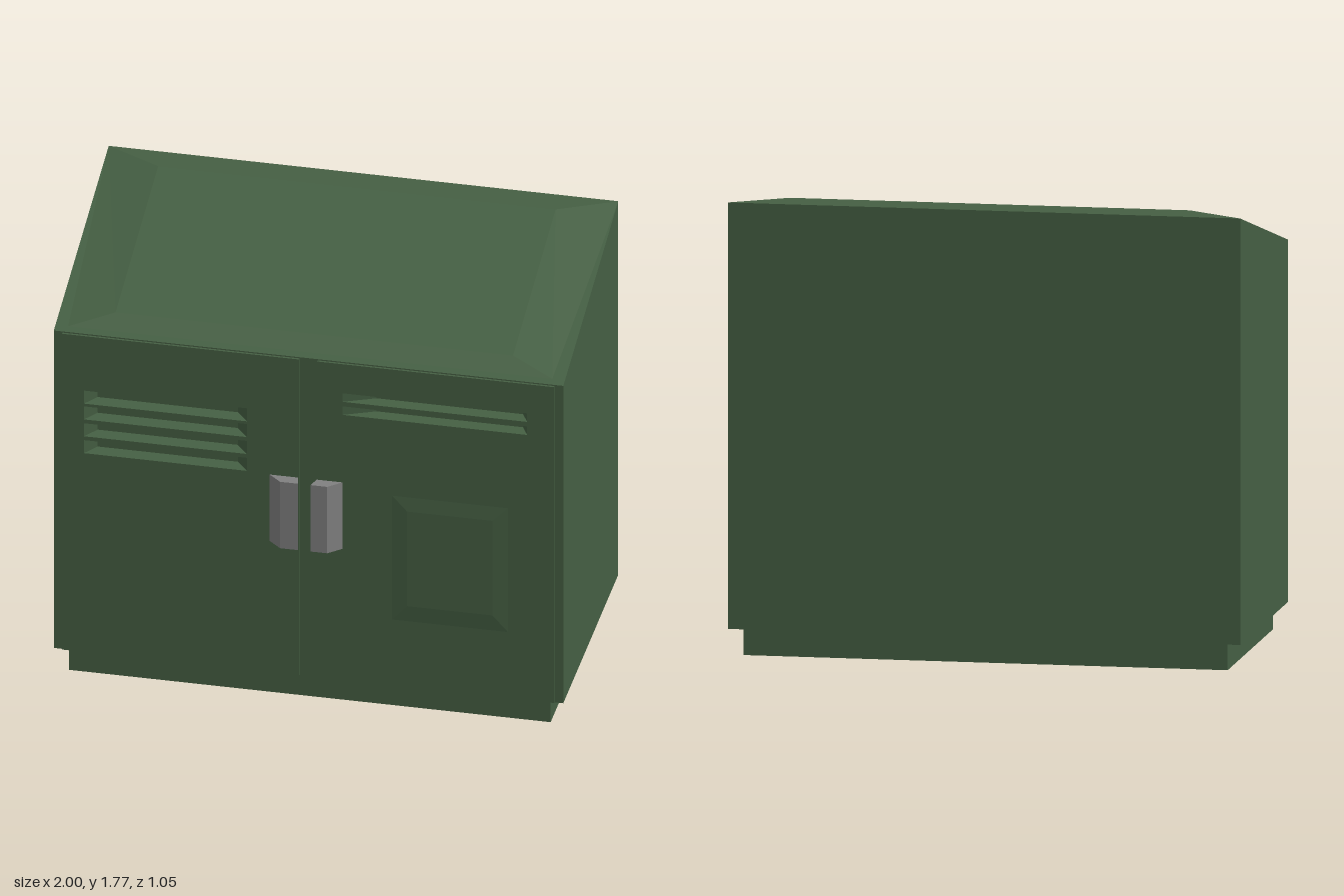
import * as THREE from 'three';

const green = new THREE.MeshStandardMaterial({ color: 0x455f43, flatShading: true });
const grey = new THREE.MeshStandardMaterial({ color: 0x808080, flatShading: true });

function add(group, name, geometry, material = green) {
  const mesh = new THREE.Mesh(geometry, material);
  mesh.name = name;
  group.add(mesh);
  return mesh;
}

// Rectangle [x0, x1, y0, y1] as corners, counter-clockwise
const corners = ([x0, x1, y0, y1], z) => [[x0, y0, z], [x1, y0, z], [x1, y1, z], [x0, y1, z]];

// Sloping walls from an outer loop to an inner loop, closed by an inner cap
function bevelPanel(outer, inner) {
  const p = [];
  const quad = (a, b, c, d) => p.push(...a, ...b, ...c, ...a, ...c, ...d);
  for (let i = 0; i < 4; i++) {
    const j = (i + 1) % 4;
    quad(outer[i], outer[j], inner[j], inner[i]);
  }
  quad(...inner);
  const g = new THREE.BufferGeometry();
  g.setAttribute('position', new THREE.Float32BufferAttribute(p, 3));
  g.computeVertexNormals();
  return g;
}

// Flat plate with rectangular openings, from z0 to z1
function plate(rect, holes, z0, z1) {
  const toPoints = (r) => corners(r, 0).map(([x, y]) => new THREE.Vector2(x, y));
  const shape = new THREE.Shape(toPoints(rect));
  for (const h of holes) shape.holes.push(new THREE.Path(toPoints(h).reverse()));
  return new THREE.ExtrudeGeometry(shape, { depth: z1 - z0, bevelEnabled: false }).translate(0, 0, z0);
}

export function createModel() {
  const model = new THREE.Group();
  model.name = 'cabinet';

  // Plinth
  add(model, 'plinth', new THREE.BoxGeometry(1.89, 0.11, 0.945).translate(0, 0.055, -0.0275));

  // Body: side profile (z, y) with a pocket for the front frame
  const profile = new THREE.Shape([
    [-0.53, 0.105], [0.43, 0.105], [0.43, 1.5], [0.47, 1.5], [0.47, 1.515], [-0.53, 1.765],
  ].map(([z, y]) => new THREE.Vector2(z, y)));
  add(model, 'body', new THREE.ExtrudeGeometry(profile, { depth: 2, bevelEnabled: false })
    .rotateY(-Math.PI / 2).translate(1, 0, 0));

  // Raised roof panel
  add(model, 'roofPanel', bevelPanel(
    [[-0.95, 1.523, 0.44], [0.95, 1.523, 0.44], [1, 1.765, -0.53], [-1, 1.765, -0.53]],
    [[-0.78, 1.563, 0.365], [0.78, 1.563, 0.365], [0.78, 1.77, -0.41], [-0.78, 1.77, -0.41]]));

  // Vent slots: outer opening and narrower inner back
  const vents = { rightDoor: [], leftDoor: [] };
  for (const y of [0.99, 1.065, 1.14, 1.21])
    vents.rightDoor.push({ outer: [-0.88, -0.24, y, y + 0.058], inner: [-0.835, -0.285, y + 0.01, y + 0.045] });
  for (const y of [1.285, 1.343])
    vents.leftDoor.push({ outer: [0.135, 0.86, y, y + 0.038], inner: [0.26, 0.835, y + 0.006, y + 0.03] });
  const openings = (list) => list.map((v) => v.outer);

  // Front frame, doors and vents
  add(model, 'frontFrame', plate([-1, 1, 0.105, 1.5],
    openings([...vents.rightDoor, ...vents.leftDoor]), 0.43, 0.47));
  const doorRects = { rightDoor: [-0.965, -0.035, 0.107, 1.51], leftDoor: [0.035, 0.965, 0.107, 1.51] };
  for (const name of Object.keys(doorRects)) {
    const door = new THREE.Group();
    door.name = name;
    model.add(door);
    add(door, 'doorPlate', plate(doorRects[name], openings(vents[name]), 0.465, 0.479));
    for (const v of vents[name])
      add(door, 'ventSlot', bevelPanel(corners(v.outer, 0.479), corners(v.inner, 0.435)));
  }

  // Shallow raised panel on the left door
  add(model, 'doorPanel', bevelPanel(
    corners([0.33, 0.785, 0.4, 0.95], 0.479), corners([0.39, 0.725, 0.47, 0.89], 0.485)));

  // Handles: wedge cross-sections (x, z) extruded upwards
  const handles = {
    rightHandle: [[-0.155, 0.475], [-0.04, 0.475], [-0.03, 0.525], [-0.1, 0.525]],
    leftHandle: [[0.035, 0.475], [0.14, 0.475], [0.085, 0.525], [0.02, 0.525]],
  };
  for (const [name, section] of Object.entries(handles)) {
    const shape = new THREE.Shape(section.map(([x, z]) => new THREE.Vector2(x, -z)));
    add(model, name, new THREE.ExtrudeGeometry(shape, { depth: 0.295, bevelEnabled: false })
      .rotateX(-Math.PI / 2).translate(0, 0.69, 0), grey);
  }
  return model;
}
